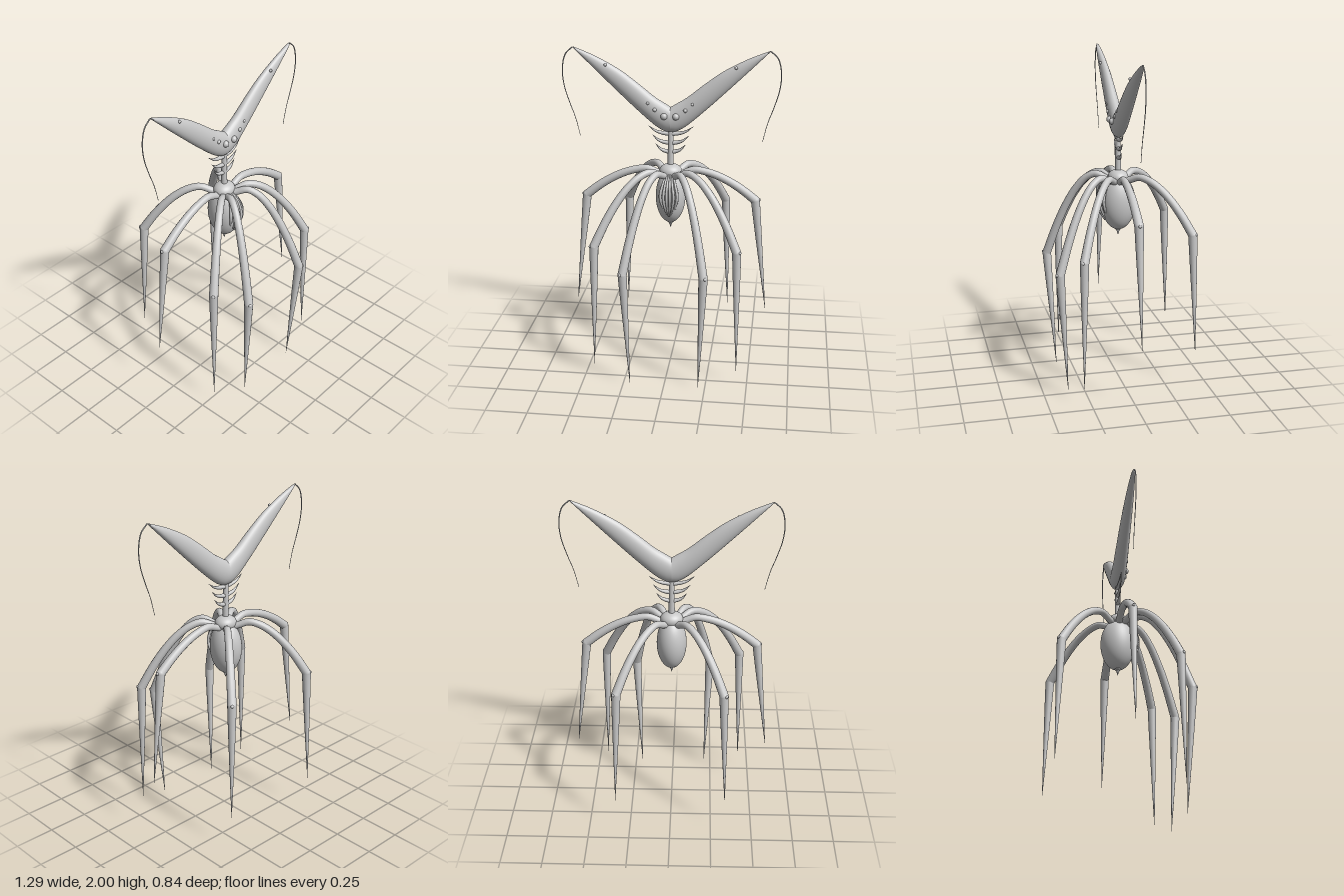
import * as THREE from 'three';
import { ParametricGeometry } from 'three/addons/geometries/ParametricGeometry.js';

const shell = new THREE.MeshStandardMaterial({ color: 0xc8c8c8 });
shell.name = 'grey shell';
const Z = -0.013; // depth of the body's axis

const V = (x, y, z) => new THREE.Vector3(x, y, z);

export function createModel() {
  const model = new THREE.Group();
  model.name = 'spiderCreature';

  function add(name, geometry, parent = model) {
    const mesh = new THREE.Mesh(geometry, shell);
    mesh.name = name;
    parent.add(mesh);
    return mesh;
  }

  function ball(name, centre, rx, ry = rx, rz = rx, parent = model) {
    const big = rx > 0.05;
    const g = new THREE.SphereGeometry(1, big ? 40 : 16, big ? 28 : 12);
    g.scale(rx, ry, rz);
    add(name, g, parent).position.copy(centre);
  }

  // Tube along smooth points whose radius varies with u (0 to 1)
  function taperedTube(points, radiusAt, segments = 24, sides = 14) {
    const curve = new THREE.CatmullRomCurve3(points);
    const g = new THREE.TubeGeometry(curve, segments, 1, sides);
    const pos = g.attributes.position, p = V(0, 0, 0);
    for (let i = 0; i < pos.count; i++) {
      const u = Math.floor(i / (sides + 1)) / segments;
      const c = curve.getPointAt(u);
      p.fromBufferAttribute(pos, i).sub(c).multiplyScalar(radiusAt(u)).add(c);
      pos.setXYZ(i, p.x, p.y, p.z);
    }
    return g;
  }

  // Abdomen, hub and tail spike
  ball('abdomen', V(0, 1.105, -0.015), 0.09, 0.168, 0.104);
  ball('hub', V(0, 1.262, Z), 0.068, 0.047, 0.062);
  ball('tailCollar', V(0, 0.942, Z), 0.02, 0.012, 0.02);
  const spike = new THREE.ConeGeometry(0.015, 0.045, 16);
  spike.rotateX(Math.PI);
  add('tailSpike', spike).position.set(0, 0.922, Z);

  // Ridges running down the front of the abdomen
  const ridges = new THREE.Group();
  ridges.name = 'abdomenRidges';
  model.add(ridges);
  for (let k = -2.5; k <= 2.5; k++) {
    const back = k * k * 0.0045;
    const path = [[0.008, 1.26, 0.04], [0.014, 1.21, 0.093], [0.0205, 1.13, 0.114], [0.015, 1.06, 0.101], [0.006, 1.0, 0.07]]
      .map(([x, y, z]) => V(k * x, y, z - back));
    add('abdomenRidge', taperedTube(path, u => 0.004 + 0.005 * Math.sin(Math.PI * u), 20, 10), ridges);
  }

  // Neck with upswept crescent ribs
  add('neck', new THREE.CylinderGeometry(0.015, 0.019, 0.26, 20)).position.set(0, 1.405, Z);
  for (const [w, y] of [[0.135, 1.493], [0.11, 1.437], [0.09, 1.382]]) {
    const path = [V(-w, y + 0.047, Z), V(-w * 0.6, y + 0.012, Z), V(0, y, Z), V(w * 0.6, y + 0.012, Z), V(w, y + 0.047, Z)];
    add('neckRib', taperedTube(path, u => 0.0005 + 0.0125 * Math.sin(Math.PI * u), 28, 10));
  }

  // Head outline: upper and lower edges of one horn
  const edge = list => new THREE.SplineCurve(list.map(([x, y]) => new THREE.Vector2(x, y)));
  const xs = [0, 0.04, 0.1, 0.2, 0.31, 0.45, 0.575];
  const upper = edge([1.655, 1.679, 1.717, 1.797, 1.876, 1.95, 2.0].map((y, i) => [xs[i], y]));
  const lower = edge([1.505, 1.511, 1.548, 1.635, 1.738, 1.873, 1.996].map((y, i) => [xs[i], y]));

  for (const s of [1, -1]) {
    const side = s > 0 ? 'left' : 'right';

    // Horn lofted from upright elliptical sections
    add(side + 'HeadHorn', new ParametricGeometry((u, v, out) => {
      const a = upper.getPoint(u), b = lower.getPoint(u);
      const t = -s * v * Math.PI * 2;
      const depth = 0.003 + 0.043 * Math.sqrt(Math.max(0, 1 - a.x / 0.575));
      out.set(s * a.x, (a.y + b.y) / 2 + (a.y - b.y) / 2 * Math.cos(t), Z + depth * Math.sin(t));
    }, 40, 32));

    // Eyes
    for (const [x, y, z, r] of [[0.035, 1.607, 0.03, 0.02], [0.09, 1.645, 0.026, 0.012], [0.131, 1.682, 0.023, 0.009], [0.38, 1.9, 0.009, 0.009]]) {
      ball(side + 'Eye', V(s * x, y, z), r);
    }

    // Hanging antenna
    const whip = [[0.575, 1.997], [0.618, 1.955], [0.639, 1.87], [0.632, 1.77], [0.6, 1.66], [0.57, 1.575], [0.543, 1.462]]
      .map(([x, y]) => V(s * x, y, Z));
    add(side + 'Antenna', taperedTube(whip, u => 0.0038 - 0.0023 * u, 40, 8));

    // Legs: knee and tip of each
    const legs = [
      ['Side', [0.512, 1.095, Z], [0.592, 0.38, -0.015]],
      ['MiddleFront', [0.422, 0.87, 0.281], [0.435, 0.095, 0.29]],
      ['Front', [0.237, 0.745, 0.39], [0.208, 0, 0.345]],
      ['Back', [0.312, 0.96, -0.392], [0.333, 0.22, -0.415]],
    ];
    for (const [label, k, e] of legs) {
      const leg = new THREE.Group();
      leg.name = side + label + 'Leg';
      model.add(leg);
      const knee = V(s * k[0], k[1], k[2]), tip = V(s * e[0], e[1], e[2]);
      const reach = Math.hypot(k[0], k[2] - Z);
      const at = (r, y) => V(knee.x * r / reach, y, Z + (knee.z - Z) * r / reach);

      // Arched upper segment
      const path = [at(0.03, 1.235), at(0.075, 1.25)];
      for (let i = 0; i <= 5; i++) {
        const t = i / 5;
        path.push(at(0.14 + (reach - 0.14) * t, 1.274 - (1.274 - k[1]) * Math.pow(t, 1.8)));
      }
      add('upperLeg', taperedTube(path, u => 0.02 + 0.007 * u, 32), leg);

      // Knee joint with a small knob on its outside
      ball('knee', knee, 0.027, 0.027, 0.027, leg);
      ball('kneeKnob', at(reach + 0.022, k[1] + 0.004), 0.01, 0.01, 0.01, leg);

      // Pointed lower segment
      add('lowerLeg', taperedTube([knee, knee.clone().lerp(tip, 0.5), tip], u => 0.0005 + 0.0265 * (1 - Math.pow(u, 1.15)), 16), leg);
    }
  }
  return model;
}
